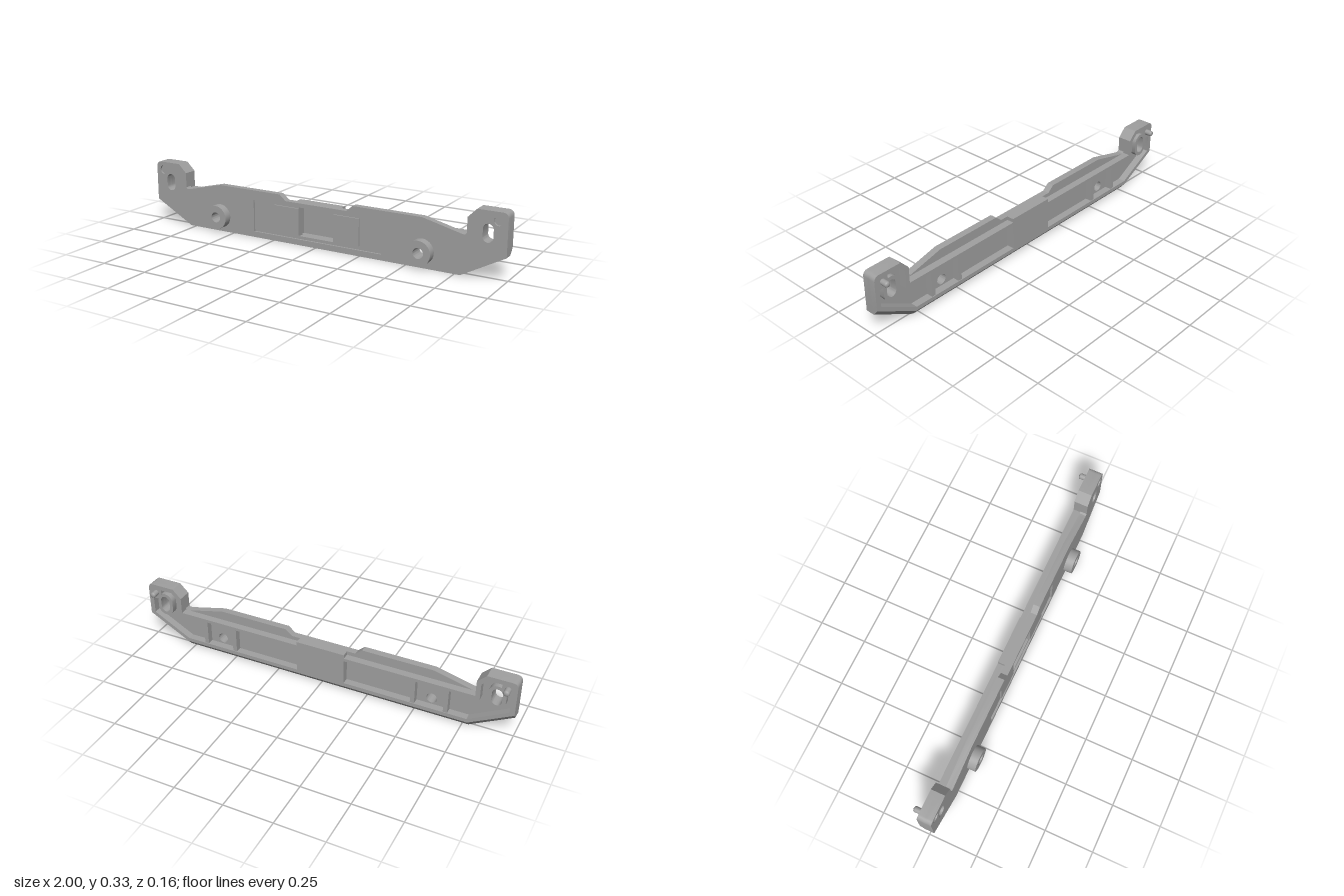
import * as THREE from 'three';
import { toCreasedNormals } from 'three/addons/utils/BufferGeometryUtils.js';

const grey = new THREE.MeshStandardMaterial({ color: 0xa0a0a0 });
grey.name = 'grey plastic';

export function createModel() {
  const model = new THREE.Group();
  model.name = 'mountingBar';

  const add = (name, geometry) => {
    const mesh = new THREE.Mesh(geometry, grey);
    mesh.name = name;
    model.add(mesh);
    return mesh;
  };
  // Box given by its limits
  const box = (name, x0, x1, y0, y1, z0, z1) => add(name,
    new THREE.BoxGeometry(x1 - x0, y1 - y0, z1 - z0)
      .translate((x0 + x1) / 2, (y0 + y1) / 2, (z0 + z1) / 2));
  // Closed outline from its +x half, listed bottom to top
  const mirrored = half => [...half, ...half.map(([x, y]) => [-x, y]).reverse()];
  const path = points => points.map(([x, y]) => new THREE.Vector2(x, y));
  const rect = (x0, x1, y0, y1) => path([[x0, y0], [x1, y0], [x1, y1], [x0, y1]]);
  const circle = (x, y, r) => slot(x, y, r, 0);
  // Upright slot: two half circles joined by straight sides
  function slot(x, y, r, h) {
    const points = [];
    for (let i = 0; i < 32; i++) {
      const a = (i + 0.5) / 32 * Math.PI * 2;
      points.push([x + r * Math.cos(a), y + r * Math.sin(a) + (i < 16 ? h : -h)]);
    }
    return path(points);
  }
  const slab = (name, outline, holes, z0, z1) => {
    const shape = new THREE.Shape(outline);
    shape.holes = holes.map(h => new THREE.Path(h));
    const geometry = new THREE.ExtrudeGeometry(shape, { depth: z1 - z0, bevelEnabled: false });
    return add(name, toCreasedNormals(geometry.translate(0, 0, z0), 0.5));
  };
  // Surface through matching outlines at successive depths
  const loft = (name, sections) => {
    const n = sections[0].points.length, positions = [], index = [];
    sections.forEach(({ points, z }) => points.forEach(([x, y]) => positions.push(x, y, z)));
    for (let k = 0; k < sections.length - 1; k++) {
      for (let i = 0; i < n; i++) {
        const a = k * n + i, b = k * n + (i + 1) % n;
        index.push(a, a + n, b, b, a + n, b + n);
      }
    }
    const geometry = new THREE.BufferGeometry();
    geometry.setAttribute('position', new THREE.Float32BufferAttribute(positions, 3));
    geometry.setIndex(index);
    return add(name, toCreasedNormals(geometry, 0.5));
  };

  const front = 0.035, pocketFloor = 0.025, back = -0.038;
  const sides = [-1, 1];

  // Front plate in two layers: the front one has the shallow pocket
  const ear = [[1, 0.305], [0.998, 0.315], [0.993, 0.323], [0.985, 0.328], [0.975, 0.33],
    [0.85, 0.33], [0.805, 0.285]];
  const plate = path(mirrored([[0.78, 0], [1, 0.12], ...ear, [0.805, 0.208], [0.797, 0.2],
    [0.785, 0.2], [0.58, 0.25], [0.21, 0.25], [0.175, 0.22]]));
  const through = sides.flatMap(s => [
    circle(s * 0.583, 0.084, 0.027), slot(s * 0.907, 0.223, 0.026, 0.019)]);
  const dimples = sides.map(s => circle(s * 0.955, 0.287, 0.023));
  slab('frontPlate', plate, [...through, ...dimples, rect(-0.37, 0.37, 0.03, 0.2)], pocketFloor, front);
  slab('backingPlate', plate, [...through, rect(-0.1, 0.1, 0.045, 0.195)], 0, pocketFloor);

  // Rear rim with a chamfer along the bottom and the slanted ends
  const outer = mirrored([[0.78, 0], [1, 0.12], ...ear, [0.805, 0.2]]);
  const outerBack = mirrored([[0.78, 0.03], [1, 0.15], ...ear, [0.805, 0.2]]);
  const inner = mirrored([[0.775, 0.05], [0.975, 0.16],
    [0.975, 0.296], [0.974, 0.3], [0.972, 0.303], [0.97, 0.305], [0.965, 0.306],
    [0.86, 0.306], [0.828, 0.275], [0.828, 0.184]]);
  loft('rearRim', [
    { points: outer, z: 0 }, { points: outer, z: -0.012 }, { points: outerBack, z: back },
    { points: inner, z: back }, { points: inner, z: 0 }]);

  // Central housing behind the window recess
  slab('windowFrame', rect(-0.13, 0.13, 0.03, 0.22), [rect(-0.1, 0.1, 0.045, 0.195)], -0.02, 0);
  box('windowBack', -0.13, 0.13, 0.03, 0.22, back, -0.02);

  for (const s of sides) {
    const side = s > 0 ? 'left' : 'right';
    // Raised pads beside the window
    box(side + 'PocketPad', s * 0.1725 - 0.0725, s * 0.1725 + 0.0725, 0.05, 0.19, 0.02, 0.033);

    // Ribs on either side of the boss
    for (const x of [0.495, 0.665]) {
      box(side + 'Rib', s * x - 0.011, s * x + 0.011, 0.04, 0.19, -0.034, 0);
    }

    // Round boss with a through hole
    slab(side + 'Boss', circle(s * 0.583, 0.084, 0.0625),
      [circle(s * 0.583, 0.084, 0.027)], front, 0.078);

    // Collar round the ear slot
    slab(side + 'SlotCollar', slot(s * 0.907, 0.223, 0.044, 0.019),
      [slot(s * 0.907, 0.223, 0.026, 0.019)], -0.034, 0);

    // Solid corner that carries the pin
    slab(side + 'PinPad', path([[0.925, 0.275], [0.95, 0.25], [0.985, 0.25],
      [0.985, 0.315], [0.925, 0.315]].map(([x, y]) => [s * x, y])), [], back + 0.0005, 0);

    // Round-tipped locating pin
    const profile = path([[0.015, 0], [0.015, 0.03], [0.0135, 0.035],
      [0.01, 0.038], [0.005, 0.0395], [0, 0.04]]);
    const pin = add(side + 'Pin', new THREE.LatheGeometry(profile, 24));
    pin.rotation.x = -Math.PI / 2;
    pin.position.set(s * 0.955, 0.286, back + 0.001);
  }
  return model;
}
